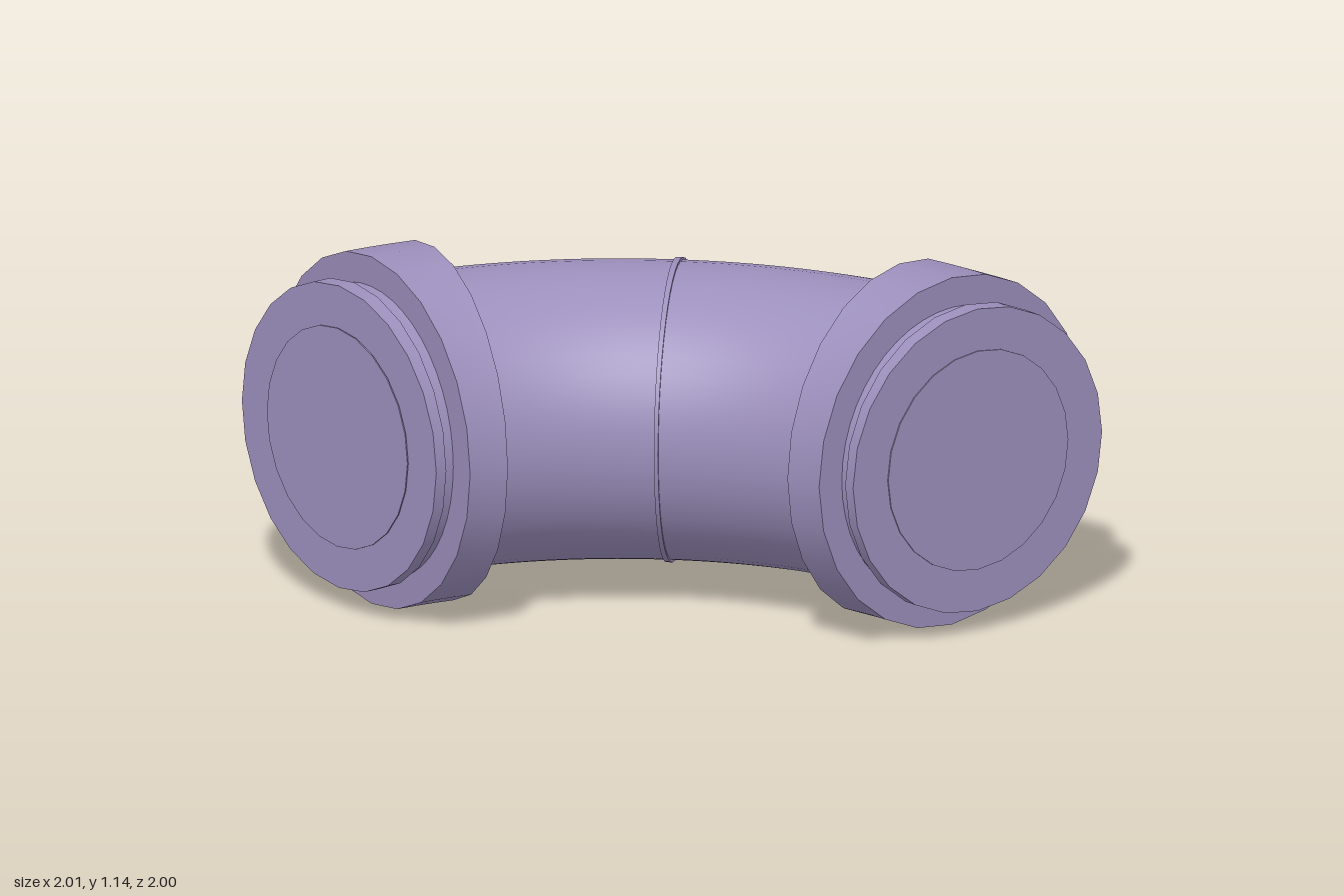
import * as THREE from 'three';
import { mergeGeometries } from 'three/addons/utils/BufferGeometryUtils.js';

const BEND = 1.434; // radius of the pipe's centre line
const rad = THREE.MathUtils.degToRad;

// Solid piece of a bent round bar between two angles, with flat ends
function bentBar(radius, from, to, sides, steps) {
  const a = rad(from), b = rad(to);
  const side = new THREE.TorusGeometry(BEND, radius, sides, steps, b - a);
  side.rotateX(-Math.PI / 2).rotateY(a);
  const start = new THREE.CircleGeometry(radius, sides);
  start.translate(BEND, 0, 0).rotateY(a);
  const end = new THREE.CircleGeometry(radius, sides);
  end.rotateY(Math.PI).translate(BEND, 0, 0).rotateY(b);
  return mergeGeometries([side, start, end]);
}

export function createModel() {
  const group = new THREE.Group();
  const plastic = new THREE.MeshStandardMaterial({ color: 0x9c8fbc });
  plastic.name = 'mauve plastic';

  const add = (name, geometry) => {
    const mesh = new THREE.Mesh(geometry, plastic);
    mesh.name = name;
    mesh.position.set(-0.997, 0.573, 0.996); // centre of the bend
    group.add(mesh);
  };

  // Main elbow and the thin seam around its middle
  add('elbowPipe', bentBar(0.474, 0.5, 89.5, 48, 48));
  add('middleSeam', bentBar(0.482, 44.6, 45.4, 48, 2));

  // Wide collar and narrow rim at each end
  add('frontCollar', bentBar(0.572, 5, 14, 24, 3));
  add('backCollar', bentBar(0.572, 76, 85, 24, 3));
  add('frontRim', bentBar(0.498, 0, 2.4, 24, 1));
  add('backRim', bentBar(0.498, 87.6, 90, 24, 1));

  // Thin round plate on each end face
  const plate = new THREE.CylinderGeometry(0.36, 0.36, 0.004, 24);
  plate.rotateX(Math.PI / 2).translate(BEND, 0, 0.002);
  add('frontPlate', plate);
  const backPlate = plate.clone().translate(0, 0, -0.004).rotateY(Math.PI / 2);
  add('backPlate', backPlate.translate(-0.004, 0, 0));

  return group;
}
